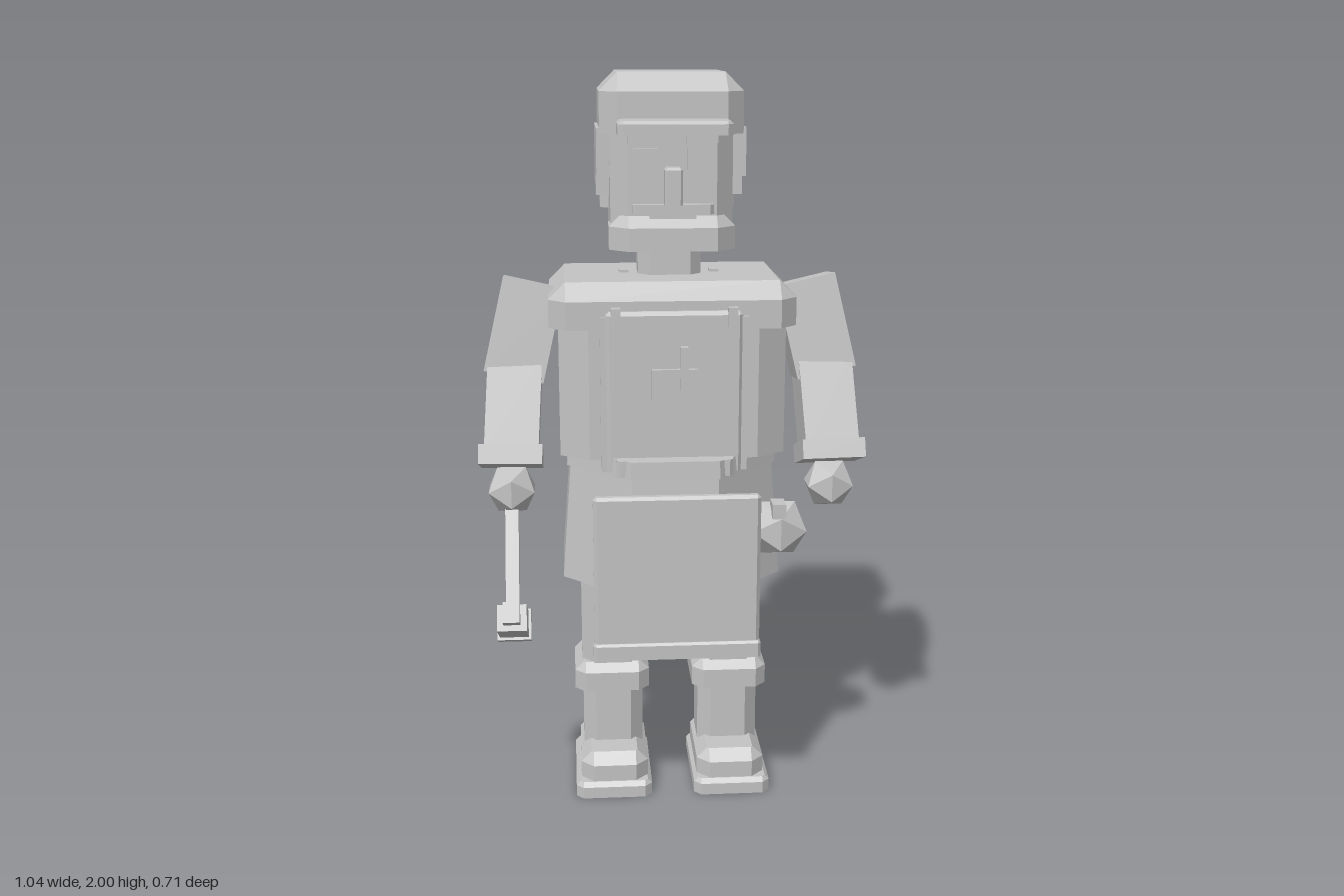
import * as THREE from 'three';
import { ConvexGeometry } from 'three/addons/geometries/ConvexGeometry.js';

const stone = new THREE.MeshStandardMaterial({ color: 0xc4c4c4 });
stone.name = 'plain grey';

export function createModel() {
  const model = new THREE.Group();
  model.name = 'workman';

  function add(name, geometry, x = 0, y = 0, z = 0, parent = model) {
    const mesh = new THREE.Mesh(geometry, stone);
    mesh.name = name;
    mesh.position.set(x, y, z);
    parent.add(mesh);
    return mesh;
  }

  // Block given by its limits: c cuts the upright edges, top and bottom inset the end faces
  function block(name, [x0, x1], [y0, y1], [z0, z1], c = 0, top = 0, bottom = 0) {
    const w = (x1 - x0) / 2, h = (y1 - y0) / 2, d = (z1 - z0) / 2;
    const [cx, cz] = Array.isArray(c) ? c : [c, c];
    const points = [];
    const ring = (y, inset) => {
      const kx = Math.max(cx - inset, 0), kz = Math.max(cz - inset, 0);
      for (const sx of [-1, 1]) for (const sz of [-1, 1]) {
        points.push(new THREE.Vector3(sx * (w - inset - kx), y, sz * (d - inset)));
        if (kx > 0) points.push(new THREE.Vector3(sx * (w - inset), y, sz * (d - inset - kz)));
      }
    };
    ring(-h, bottom);
    if (bottom) ring(-h + bottom, 0);
    if (top) ring(h - top, 0);
    ring(h, top);
    return add(name, new ConvexGeometry(points), (x0 + x1) / 2, (y0 + y1) / 2, (z0 + z1) / 2);
  }

  // Box running from point a down to point b
  function limb(name, a, b, w, d) {
    const from = new THREE.Vector3(...a), to = new THREE.Vector3(...b);
    const dir = to.clone().sub(from);
    const mid = from.clone().add(to).multiplyScalar(0.5);
    const mesh = add(name, new THREE.BoxGeometry(w, dir.length(), d), mid.x, mid.y, mid.z);
    mesh.quaternion.setFromUnitVectors(new THREE.Vector3(0, -1, 0), dir.normalize());
    return mesh;
  }

  // Head, hair and cap
  block('head', [-0.16, 0.16], [1.56, 1.86], [-0.205, 0.106], 0.045);
  block('backHair', [-0.183, 0.183], [1.64, 1.86], [-0.233, -0.06], 0.045);
  block('cap', [-0.187, 0.187], [1.845, 2], [-0.235, 0.108], 0.045, 0.048);
  block('visor', [-0.145, 0.145], [1.85, 1.885], [0.08, 0.228], 0.015, 0.008);
  const sideHair = new THREE.Shape([
    [0.058, 1.86], [-0.185, 1.86], [-0.185, 1.7], [-0.11, 1.7], [-0.11, 1.68],
    [-0.03, 1.68], [-0.03, 1.735], [0.058, 1.735],
  ].map(([z, y]) => new THREE.Vector2(-z, y)));
  const sideHairGeometry = new THREE.ExtrudeGeometry(sideHair, { depth: 0.045, bevelEnabled: false });
  sideHairGeometry.rotateY(Math.PI / 2);

  // Face
  block('nose', [-0.023, 0.023], [1.67, 1.765], [0.09, 0.155], 0.006, 0.006);
  block('moustache', [-0.105, 0.105], [1.645, 1.67], [0.09, 0.135], 0.01);
  block('mouth', [-0.06, 0.06], [1.633, 1.645], [0.09, 0.125]);
  block('beard', [-0.165, 0.165], [1.55, 1.645], [-0.06, 0.135], 0.05, 0.035);

  // Torso and neck
  block('neck', [-0.085, 0.085], [1.45, 1.58], [-0.143, 0.005], 0.03);
  block('shoulderYoke', [-0.327, 0.327], [1.35, 1.47], [-0.267, 0.16], 0.045, 0.045);
  block('torso', [-0.302, 0.302], [1, 1.36], [-0.26, 0.158], [0.078, 0.055]);

  // Eight-sided tunic skirt
  const octagon = (top, bottom, height) => {
    const k = Math.cos(Math.PI / 8);
    return new THREE.CylinderGeometry(top / k, bottom / k, height, 8)
      .rotateY(Math.PI / 8).toNonIndexed();
  };
  const skirtParts = [
    ['belt', octagon(0.282, 0.285, 0.05), 0.985],
    ['skirt', octagon(0.275, 0.3, 0.33), 0.805],
  ];
  for (const [name, geometry, y] of skirtParts) {
    geometry.computeVertexNormals();
    add(name, geometry, 0, y, -0.058);
  }

  // Apron
  block('apronBib', [-0.18, 0.18], [0.97, 1.4], [0.13, 0.178], 0.01, 0.01);
  block('apronBand', [-0.155, 0.155], [0.965, 1.01], [0.15, 0.212], 0.01);
  block('bibPocket', [-0.06, 0.06], [1.12, 1.25], [0.17, 0.193]);
  block('pocketTool', [0.015, 0.035], [1.195, 1.31], [0.17, 0.203]);
  block('apronPanel', [-0.22, 0.22], [0.5, 0.935], [0.264, 0.294], 0.01, 0.008);
  block('apronHem', [-0.223, 0.223], [0.485, 0.53], [0.257, 0.302], 0.008, 0.006);

  for (const s of [-1, 1]) {
    const side = s > 0 ? 'left' : 'right';
    const span = (a, b) => (s > 0 ? [a, b] : [-b, -a]);

    // Side hair, eyes and apron straps
    add(side + 'SideHair', sideHairGeometry, s > 0 ? 0.15 : -0.195);
    block(side + 'Eye', span(0.038, 0.102), [1.757, 1.81], [0.1, 0.115]);
    block(side + 'Brow', span(0.035, 0.115), [1.825, 1.845], [0.09, 0.125]);
    block(side + 'BibEdge', span(0.172, 0.194), [0.97, 1.385], [0.14, 0.17]);
    block(side + 'Strap', span(0.14, 0.165), [1.36, 1.41], [0.15, 0.187]);
    block(side + 'StrapButton', span(0.11, 0.135), [1.45, 1.477], [-0.07, -0.04]);

    // Arm
    limb(side + 'UpperArm', [s * 0.367, 1.445, -0.058], [s * 0.425, 1.195, -0.022], 0.163, 0.155);
    limb(side + 'Forearm', [s * 0.42, 1.23, -0.03], [s * 0.434, 0.99, 0.058], 0.145, 0.155);
    limb(side + 'Cuff', [s * 0.435, 1.012, 0.05], [s * 0.436, 0.962, 0.068], 0.17, 0.172);
    add(side + 'Hand', new THREE.IcosahedronGeometry(0.073, 0), s * 0.436, 0.895, 0.06);

    // Leg and boot
    block(side + 'Thigh', span(0.078, 0.252), [0.33, 0.9], [-0.145, 0.035], 0.035);
    block(side + 'Shin', span(0.08, 0.25), [0.1, 0.31], [-0.143, 0.037], 0.035);
    block(side + 'KneeBand', span(0.062, 0.273), [0.285, 0.365], [-0.168, 0.057], 0.03, 0.025);
    block(side + 'Boot', span(0.07, 0.26), [0.04, 0.122], [-0.158, 0.14], 0.035, 0.03);
    block(side + 'Sole', span(0.06, 0.275), [0, 0.045], [-0.165, 0.155], 0.02, 0.012);
  }

  // Pouch hanging at the hip
  add('pouch', new THREE.IcosahedronGeometry(0.086, 0), 0.285, 0.795, 0.138);
  block('pouchKnob', [0.262, 0.298], [0.84, 0.88], [0.15, 0.208]);

  // Hammer held in the right hand
  const hammer = new THREE.Group();
  hammer.name = 'hammer';
  hammer.position.set(-0.437, 0.575, 0.225);
  hammer.rotation.x = -Math.PI * 0.16;
  model.add(hammer);
  add('hammerHandle', new THREE.BoxGeometry(0.036, 0.38, 0.036), 0, 0.17, 0, hammer);
  add('hammerHead', new THREE.BoxGeometry(0.078, 0.07, 0.17), 0, 0, -0.01, hammer);
  add('hammerFace', new THREE.BoxGeometry(0.092, 0.085, 0.04), 0, 0, -0.1, hammer);
  add('hammerPeen', new THREE.BoxGeometry(0.044, 0.055, 0.06), 0, 0.008, 0.1, hammer);

  return model;
}
